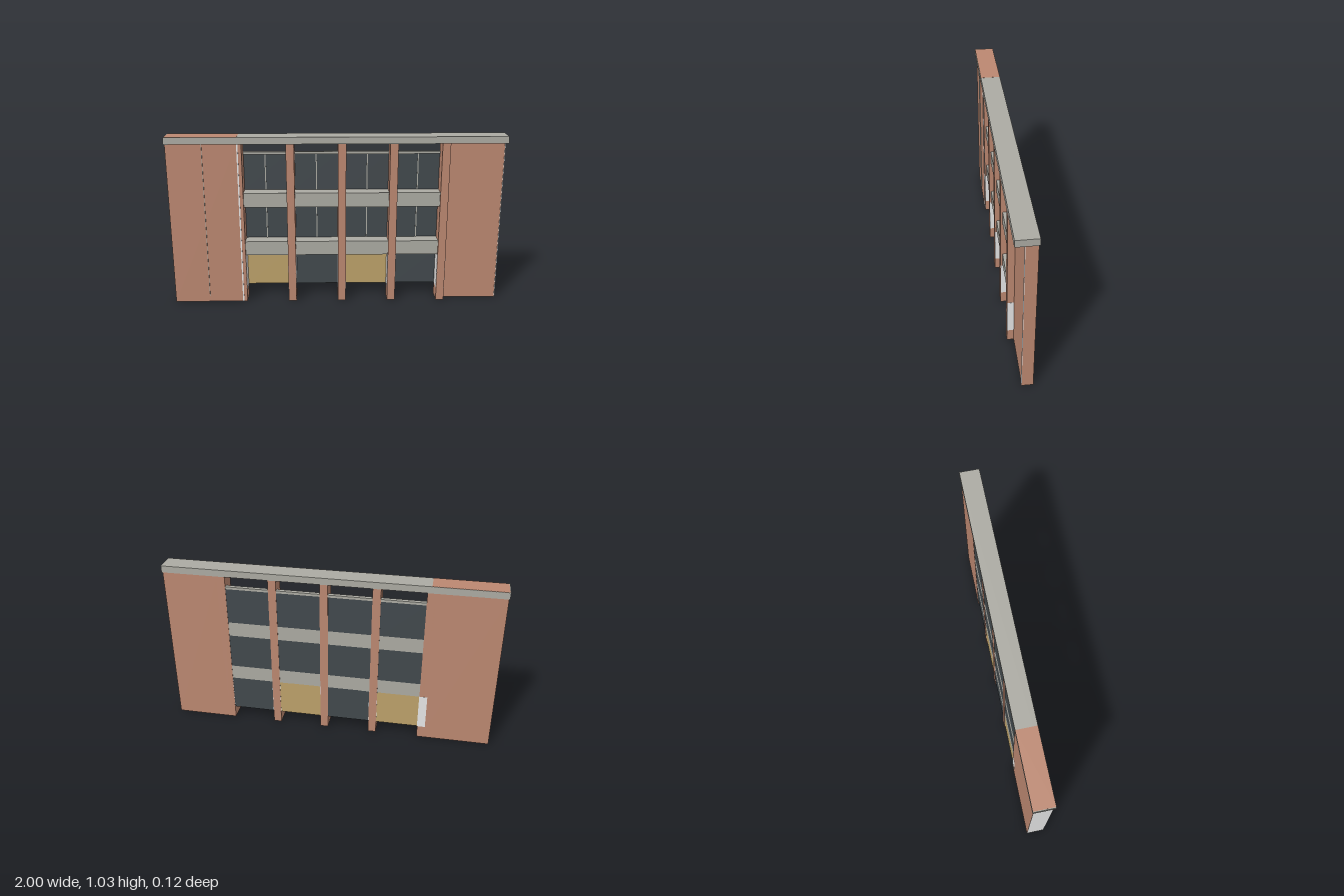
import * as THREE from 'three';

const material = (name, color) => {
  const m = new THREE.MeshStandardMaterial({ color });
  m.name = name;
  return m;
};

export function createModel() {
  const model = new THREE.Group();
  model.name = 'facade';

  const brick = material('brick', 0xbc8871);
  const concrete = material('concrete', 0xacaba3);
  const plaster = material('whitePlaster', 0xe8e8e8);
  const glass = material('darkGlass', 0x42494d);
  const tan = material('tanPanel', 0xbda26a);

  // Box given by its limits on each axis
  const box = (name, mat, [x0, x1], [y0, y1], [z0, z1], parent = model) => {
    const mesh = new THREE.Mesh(new THREE.BoxGeometry(x1 - x0, y1 - y0, z1 - z0), mat);
    mesh.position.set((x0 + x1) / 2, (y0 + y1) / 2, (z0 + z1) / 2);
    mesh.name = name;
    parent.add(mesh);
    return mesh;
  };

  const wallTop = 0.992, back = -0.055;

  // End walls: the one on the -x side is deeper, with a plastered outer end
  box('deepEndWall', [brick, plaster, brick, brick, brick, brick],
    [-0.995, -0.582], [0, wallTop], [back, 0.05]);
  box('plasterEdge', plaster, [-0.582, -0.574], [0, wallTop], [0.04, 0.05]);
  box('wallFin', concrete, [-0.785, -0.7825], [0.04, wallTop], [0.045, 0.056]);
  box('shallowEndWall', brick, [0.66, 0.995], [0, wallTop], [back, 0.008]);
  box('plasterEdge', plaster, [0.991, 0.995], [0, wallTop], [0.008, 0.012]);

  // Cornice with a brick cap above the deep wall
  box('cornice', concrete, [-1, 1], [wallTop, 1.033], [-0.06, 0.06]);
  box('corniceCap', brick, [-0.995, -0.578], [1.032, 1.0336], [-0.059, 0.059]);

  // Five pillars, plastered on both sides at ground level
  const pitch = 0.305, pillarWidth = 0.048;
  const pillarX = (i) => -0.602 + i * pitch;
  const groundLevel = [0.078, 0.298];
  for (let i = 0; i < 5; i++) {
    const left = pillarX(i), right = left + pillarWidth;
    box('pillar', brick, [left, right], [0, wallTop], [back, 0.047]);
    box('pillarPlaster', plaster, [left - 0.001, right + 0.001], groundLevel, [-0.054, 0.046]);
  }
  // Plastered back of the pillar that meets the deep wall
  box('backPlaster', plaster, [pillarX(0), pillarX(0) + pillarWidth], groundLevel, [-0.056, -0.054]);

  // Four bays of windows, sills and ground floor panels
  for (let i = 0; i < 4; i++) {
    const bay = new THREE.Group();
    bay.name = 'bay';
    model.add(bay);
    const span = [pillarX(i) + pillarWidth, pillarX(i + 1)];
    const mid = (span[0] + span[1]) / 2;

    box('groundPanel', i % 2 ? glass : tan, span, groundLevel, [-0.053, -0.045], bay);

    for (const [floor, top] of [[0.31, 0.602], [0.615, 0.913]]) {
      box('balconyBand', concrete, span, [floor, floor + 0.077], [-0.053, 0.036], bay);
      box('bandLip', concrete, span, [floor - 0.013, floor], [-0.053, 0.028], bay);
      box('window', glass, span, [floor + 0.077, top], [-0.053, -0.045], bay);
      box('mullion', concrete, [mid - 0.003, mid + 0.003], [floor + 0.077, top], [-0.05, -0.042], bay);
    }
    box('windowHead', concrete, span, [0.913, 0.928], [-0.054, -0.03], bay);
  }
  return model;
}
